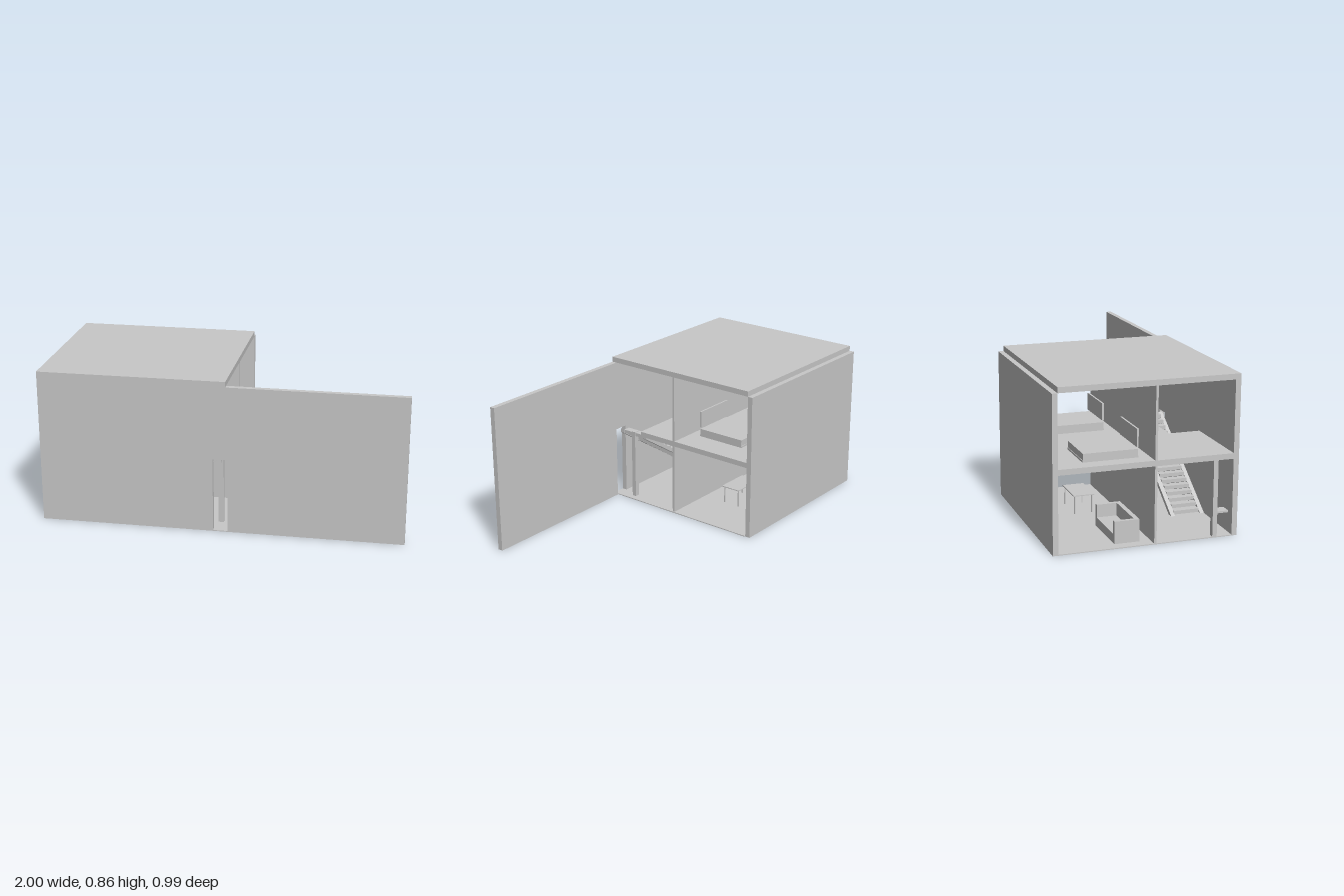
import * as THREE from 'three';

export function createModel() {
  const root = new THREE.Group();
  const concrete = new THREE.MeshStandardMaterial({ color: 0xc8c8c8 });
  concrete.name = 'light grey';

  const add = (name, geometry, parent = root) => {
    const mesh = new THREE.Mesh(geometry, concrete);
    mesh.name = name;
    parent.add(mesh);
    return mesh;
  };
  // Box given by its limits on each axis
  const box = (name, x0, x1, y0, y1, z0, z1, parent) =>
    add(name, new THREE.BoxGeometry(x1 - x0, y1 - y0, z1 - z0), parent)
      .position.set((x0 + x1) / 2, (y0 + y1) / 2, (z0 + z1) / 2);
  // Outline in x and y, extruded between two z values
  const slab = (name, points, z0, z1, parent) => {
    const shape = new THREE.Shape(points.map(([x, y]) => new THREE.Vector2(x, y)));
    const geometry = new THREE.ExtrudeGeometry(shape, { depth: z1 - z0, bevelEnabled: false });
    add(name, geometry, parent).position.z = z0;
  };
  const group = (name) => {
    const g = new THREE.Group();
    g.name = name;
    root.add(g);
    return g;
  };

  // Shell: long front wall with a doorway, back wall, floors and roof
  slab('frontWall', [[-1, 0], [-0.04, 0], [-0.04, 0.42], [0.04, 0.42], [0.04, 0],
    [1, 0], [1, 0.83], [-1, 0.83]], 0.468, 0.497);
  box('backWall', -1, 0.03, 0, 0.83, -0.497, -0.468);
  box('groundFloor', -1, 0.035, 0, 0.005, -0.468, 0.468);
  box('doorSill', -0.04, 0.04, 0, 0.005, 0.468, 0.497);
  box('roof', -1, 0.03, 0.83, 0.86, -0.468, 0.497);
  box('upperFloor', -1, 0.03, 0.415, 0.445, -0.468, 0.29);
  box('upperFloorBesideStairs', -1, -0.55, 0.415, 0.445, 0.29, 0.468);

  // Partition on both storeys
  box('lowerPartition', -1, 0.03, 0.005, 0.415, 0.04, 0.053);
  box('upperPartition', -1, 0.03, 0.445, 0.83, 0.04, 0.053);

  // Columns in the hall and a small shelf by the open end
  box('stairColumn', -0.03, 0, 0.005, 0.415, 0.36, 0.385);
  box('hallColumn', -1, -0.97, 0.005, 0.415, 0.36, 0.385);
  box('hallShelf', -1, -0.94, 0.13, 0.14, 0.385, 0.445);

  // Straight stairs rising towards the doorway
  const stairs = group('stairs');
  for (const z of [0.277, 0.445]) {
    slab('stringer', [[-0.6, 0.005], [0, 0.39], [0, 0.415], [-0.64, 0.005]], z, z + 0.023, stairs);
  }
  const steps = 17;
  for (let i = 0; i < steps; i++) {
    const x = -0.62 + i * 0.036;
    const y = 0.007 + i * 0.024;
    box('step', x, x + 0.042, y, y + 0.02, 0.3, 0.445, stairs);
  }

  // Two beds with raised headboards
  for (const x of [-0.92, -0.38]) {
    const bed = group('bed');
    box('bedBase', x, x + 0.25, 0.445, 0.455, -0.317, -0.02, bed);
    box('mattress', x, x + 0.25, 0.455, 0.49, -0.314, -0.023, bed);
    box('headboard', x, x + 0.25, 0.5, 0.595, -0.03, -0.02, bed);
  }

  // Sofa with its back to the partition
  const sofa = group('sofa');
  box('sofaSeat', -0.925, -0.665, 0.005, 0.055, -0.155, -0.045, sofa);
  box('sofaBack', -0.925, -0.665, 0.005, 0.125, -0.045, -0.02, sofa);
  for (const x of [-0.945, -0.665]) box('sofaArm', x, x + 0.02, 0.005, 0.125, -0.155, -0.02, sofa);

  // Table on four thin legs
  const table = group('table');
  box('tableTop', -0.45, -0.25, 0.107, 0.112, -0.215, -0.095, table);
  for (const x of [-0.44, -0.266]) {
    for (const z of [-0.208, -0.11]) box('tableLeg', x, x + 0.006, 0.005, 0.107, z, z + 0.006, table);
  }
  return root;
}
